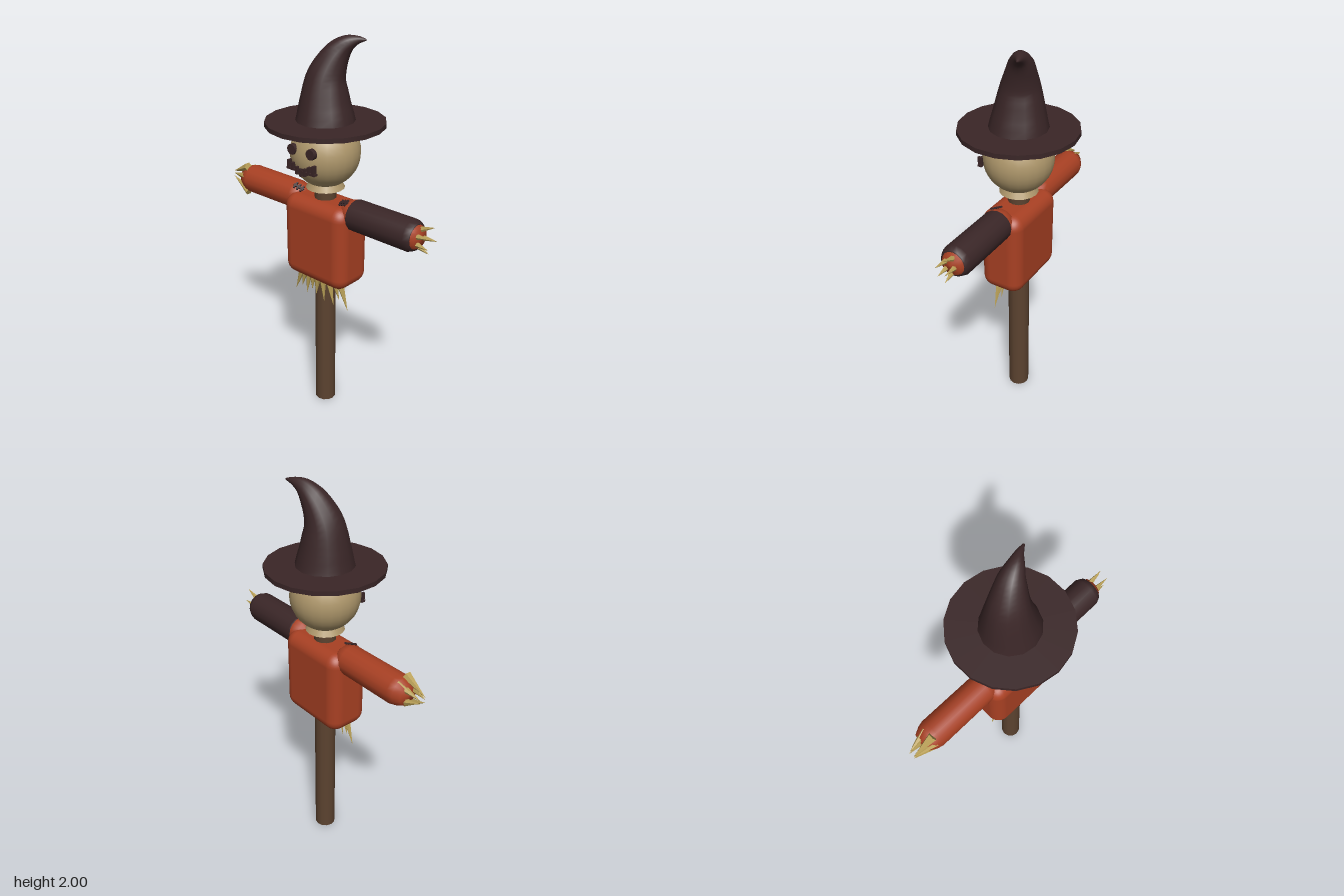
import * as THREE from 'three';
import { RoundedBoxGeometry } from 'three/addons/geometries/RoundedBoxGeometry.js';

const mat = (name, color, extra = {}) => {
  const m = new THREE.MeshStandardMaterial({ color, ...extra });
  m.name = name;
  return m;
};

export function createModel() {
  const root = new THREE.Group();
  root.name = 'scarecrow';
  const orange = mat('orange cloth', 0xa84023);
  const dark = mat('dark felt', 0x3a2627);
  const burlap = mat('burlap', 0xae976b, { side: THREE.DoubleSide });
  const wood = mat('wood', 0x5c4330);
  const straw = mat('straw', 0xb9a057, { flatShading: true });

  const add = (name, geo, material, parent = root) => {
    const mesh = new THREE.Mesh(geo, material);
    mesh.name = name;
    parent.add(mesh);
    return mesh;
  };
  const group = (name) => {
    const g = new THREE.Group();
    g.name = name;
    root.add(g);
    return g;
  };
  // Straw spike from a base point to a tip point
  const spike = (parent, from, to, radius) => {
    const a = new THREE.Vector3(...from), b = new THREE.Vector3(...to);
    const dir = b.clone().sub(a);
    const m = add('strawSpike', new THREE.ConeGeometry(radius, dir.length(), 6), straw, parent);
    m.position.copy(a).add(b).multiplyScalar(0.5);
    m.quaternion.setFromUnitVectors(new THREE.Vector3(0, 1, 0), dir.normalize());
  };
  // Round limb turned about the x axis; points are [radius, distance from centre]
  const limb = (name, points, material, side) => {
    const geo = new THREE.LatheGeometry(points.map(([r, d]) => new THREE.Vector2(r, d)), 16);
    geo.rotateZ(-side * Math.PI / 2);
    return add(name, geo, material).translateY(1.175);
  };

  // Post and torso
  add('post', new THREE.CylinderGeometry(0.055, 0.055, 1.3, 12), wood).position.y = 0.65;
  add('torso', new RoundedBoxGeometry(0.4, 0.445, 0.225, 4, 0.065), orange).position.y = 0.9925;

  // Arms, the left one with a dark sleeve
  const arm = [[0, 0.1], [0.045, 0.13], [0.065, 0.15], [0.075, 0.19], [0.076, 0.51],
    [0.069, 0.54], [0.05, 0.575], [0, 0.585]];
  limb('rightArm', arm, orange, -1);
  limb('leftArm', arm, orange, 1);
  limb('leftSleeve', [[0.07, 0.185], [0.079, 0.2], [0.079, 0.53], [0.067, 0.558], [0.055, 0.558]], dark, 1);

  // Shoulder stitches
  for (const side of [-1, 1]) {
    const stitch = group(side > 0 ? 'leftShoulderStitch' : 'rightShoulderStitch');
    stitch.position.set(side * 0.15, 1.235, 0.035);
    stitch.rotation.set(0.5, 0, side * 0.35);
    add('seam', new THREE.BoxGeometry(0.06, 0.009, 0.012), dark, stitch);
    for (let i = -1; i <= 1; i++) {
      add('crossStitch', new THREE.BoxGeometry(0.008, 0.009, 0.036), dark, stitch).position.x = i * 0.02;
    }
  }

  // Straw hands: the right folds together, the left fans out
  const rightHand = group('rightHand');
  const rightSpikes = [[0.07, 0.03, 1.19], [-0.07, 0.03, 1.165], [0.02, 0.045, 1.18],
    [0.045, -0.02, 1.185], [-0.04, -0.02, 1.17]];
  for (const [dy, z, tipY] of rightSpikes) {
    spike(rightHand, [-0.53, 1.175 + dy, z], [-0.655, tipY, z > 0 ? 0.026 : -0.004], 0.024);
  }
  const leftHand = group('leftHand');
  const leftSpikes = [[0.035, -0.01, 0.645, 1.245], [0.015, 0.025, 0.655, 1.2], [-0.005, -0.02, 0.655, 1.175],
    [-0.02, 0.025, 0.64, 1.145], [-0.04, 0, 0.628, 1.11]];
  for (const [dy, z, tipX, tipY] of leftSpikes) {
    spike(leftHand, [0.56, 1.175 + dy, z], [tipX, tipY, z * 1.1], 0.016);
  }

  // Straw under the torso
  const skirt = group('strawSkirt');
  const skirtSpikes = [[-0.125, -0.18, 0.64], [-0.1, -0.13, 0.675], [-0.07, -0.09, 0.65], [-0.04, -0.045, 0.69],
    [0, -0.01, 0.675], [0.03, 0.04, 0.65], [0.065, 0.1, 0.645], [0.1, 0.13, 0.69], [0.13, 0.185, 0.64]];
  for (const [x, tipX, tipY] of skirtSpikes) {
    const z = 0.035 + 0.025 * (1 - Math.abs(x) / 0.13);
    spike(skirt, [x, 0.79, z], [tipX, tipY, z], 0.02);
  }

  // Head and collar
  add('head', new THREE.SphereGeometry(0.172, 24, 18), burlap).position.y = 1.45;
  add('collar', new THREE.CylinderGeometry(0.078, 0.097, 0.035, 16, 1, true), burlap).position.y = 1.287;

  // Face
  const face = group('face');
  for (const side of [-1, 1]) {
    const eye = add('eye', new THREE.CylinderGeometry(0.026, 0.026, 0.022, 14), dark, face);
    eye.rotation.x = Math.PI / 2;
    eye.position.set(side * 0.06, 1.49, 0.162);
  }
  add('mouth', new THREE.BoxGeometry(0.18, 0.01, 0.022), dark, face).position.set(0, 1.396, 0.166);
  const stitches = [[-0.078, 1.418], [-0.05, 1.41], [-0.024, 1.396], [0, 1.39], [0.026, 1.396], [0.052, 1.41], [0.078, 1.42]];
  for (const [x, y] of stitches) {
    add('mouthStitch', new THREE.BoxGeometry(0.012, 0.038, 0.024), dark, face).position.set(x, y, 0.167);
  }

  // Hat brim
  add('hatBrim', new THREE.CylinderGeometry(0.29, 0.29, 0.023, 18), dark).position.y = 1.596;

  // Bent hat cone: rings square to a curved centre line; points are [x, y, z, radius]
  const spine = [[0, 1.6, 0, 0.145], [-0.005, 1.7, -0.002, 0.12], [-0.003, 1.8, -0.007, 0.096],
    [0.017, 1.87, -0.021, 0.077], [0.045, 1.925, -0.038, 0.06], [0.082, 1.963, -0.055, 0.04],
    [0.122, 1.981, -0.075, 0.02], [0.163, 1.985, -0.09, 0.004]];
  const curve = new THREE.CatmullRomCurve3(spine.map(([x, y, z]) => new THREE.Vector3(x, y, z)));
  const rings = 21, sides = 14, pos = [], index = [];
  const across = new THREE.Vector3(0.49, 0, 0.87).normalize();
  for (let i = 0; i <= rings; i++) {
    const t = i / rings, k = t * (spine.length - 1), j = Math.min(Math.floor(k), spine.length - 2);
    const r = THREE.MathUtils.lerp(spine[j][3], spine[j + 1][3], k - j);
    const c = curve.getPoint(t);
    const tangent = i === 0 ? new THREE.Vector3(0, 1, 0) : curve.getTangent(t);
    const u = across.clone().addScaledVector(tangent, -across.dot(tangent)).normalize();
    const v = tangent.clone().cross(u);
    for (let s = 0; s < sides; s++) {
      const a = s / sides * Math.PI * 2;
      const p = c.clone().addScaledVector(u, r * Math.cos(a)).addScaledVector(v, r * Math.sin(a));
      pos.push(p.x, p.y, p.z);
      if (i < rings) {
        const n = (s + 1) % sides, b = i * sides;
        index.push(b + s, b + n, b + sides + n, b + s, b + sides + n, b + sides + s);
      }
    }
  }
  for (let s = 1; s < sides - 1; s++) index.push(rings * sides, rings * sides + s, rings * sides + s + 1);
  const cone = new THREE.BufferGeometry();
  cone.setAttribute('position', new THREE.Float32BufferAttribute(pos, 3));
  cone.setIndex(index);
  cone.computeVertexNormals();
  add('hatCone', cone, dark);

  return root;
}
